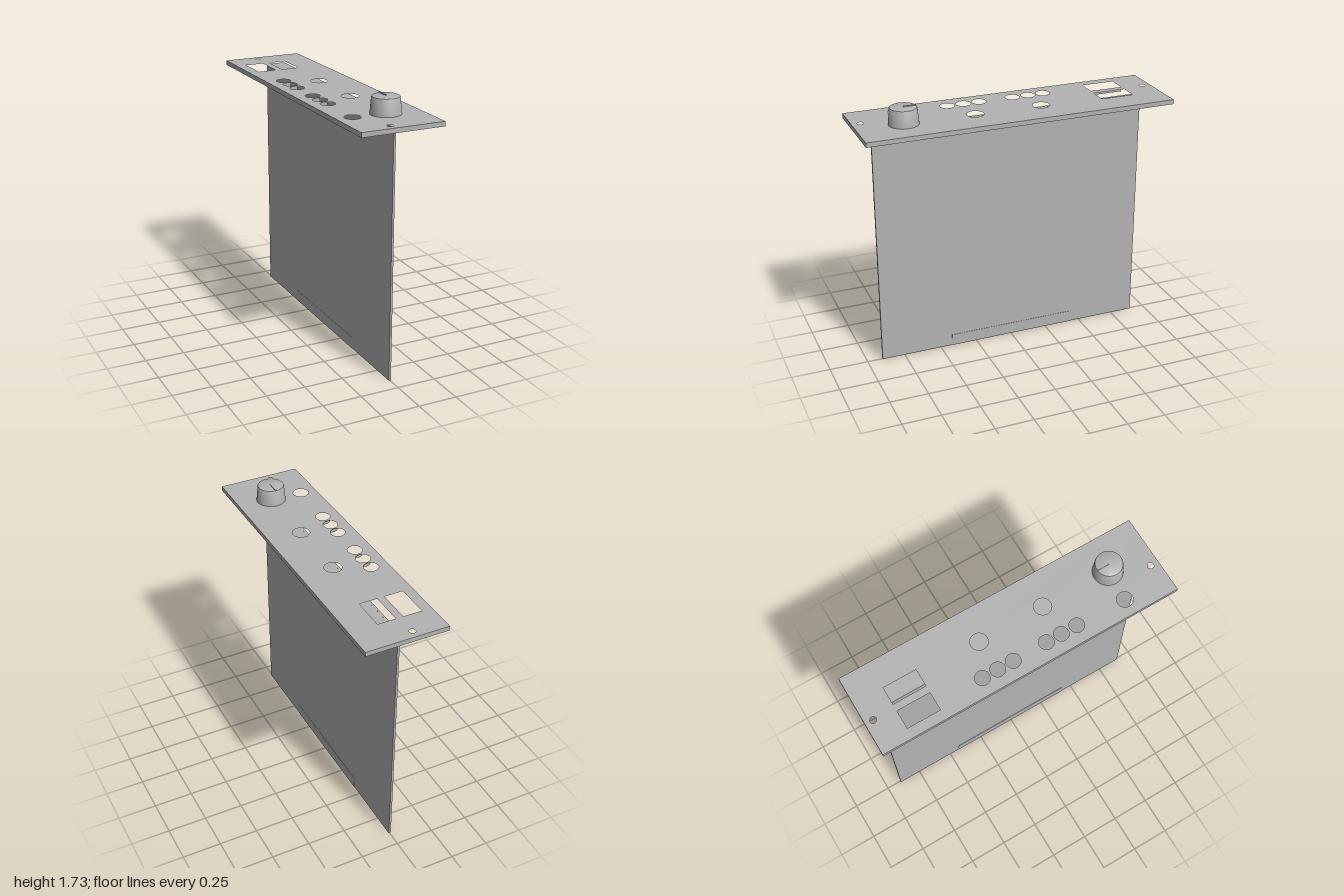
import * as THREE from 'three';
import { toCreasedNormals } from 'three/addons/utils/BufferGeometryUtils.js';

export function createModel() {
  const model = new THREE.Group();
  const grey = new THREE.MeshStandardMaterial({ color: 0xb3b3b3 });
  grey.name = 'satin grey';

  const add = (name, geometry, x = 0, y = 0, z = 0) => {
    const mesh = new THREE.Mesh(geometry, grey);
    mesh.name = name;
    mesh.position.set(x, y, z);
    model.add(mesh);
    return mesh;
  };
  // Box given by its limits on each axis
  const block = (name, x0, x1, y0, y1, z0, z1) =>
    add(name, new THREE.BoxGeometry(x1 - x0, y1 - y0, z1 - z0),
      (x0 + x1) / 2, (y0 + y1) / 2, (z0 + z1) / 2);

  // Rectangle path in plan; shape y is -z
  const rect = (path, x0, x1, z0, z1) => {
    path.moveTo(x0, -z0);
    path.lineTo(x1, -z0);
    path.lineTo(x1, -z1);
    path.lineTo(x0, -z1);
    path.closePath();
    return path;
  };

  // Faceplate with all its openings
  const plate = rect(new THREE.Shape(), -0.267, 0.267, -1, 1);
  const roundHoles = [
    [-0.057, -0.947, 0.02], [-0.057, 0.945, 0.02],   // screw holes
    [-0.163, 0.693, 0.05],                           // lamp hole beside knob
    [0.048, -0.185, 0.054], [0.048, 0.251, 0.054],   // button holes
  ];
  for (const z of [-0.283, -0.18, -0.075, 0.151, 0.254, 0.361]) roundHoles.push([-0.157, z, 0.046]);
  for (const [x, z, r] of roundHoles) {
    plate.holes.push(new THREE.Path().absarc(x, -z, r, 0, Math.PI * 2, true));
  }
  for (const [x0, x1] of [[-0.201, -0.079], [-0.032, 0.085]]) {
    plate.holes.push(rect(new THREE.Path(), x0, x1, -0.804, -0.587));
  }
  const plateGeometry = new THREE.ExtrudeGeometry(plate, {
    depth: 0.03, bevelEnabled: false, curveSegments: 24,
  });
  plateGeometry.rotateX(-Math.PI / 2);
  add('faceplate', toCreasedNormals(plateGeometry, 0.6), 0, 1.59, 0);

  // Upright board with folded mounting flange and thicker edge connector
  block('board', -0.008, 0.006, 0, 1.59, -0.9, 0.9);
  block('mountingFlange', 0.006, 0.12, 1.575, 1.5895, -0.9, 0.9);
  block('edgeConnector', -0.01, 0.008, 0, 0.077, -0.43, 0.42);

  // Tapered knob with a softened top rim
  const profile = [[0.094, 0], [0.085, 0.1], [0.083, 0.105], [0.079, 0.107], [0, 0.107]]
    .map(([r, y]) => new THREE.Vector2(r, y));
  add('knob', toCreasedNormals(new THREE.LatheGeometry(profile, 48), 0.6), 0.045, 1.62, 0.705);
  block('knobPointer', 0.04, 0.05, 1.725, 1.731, 0.625, 0.705);

  return model;
}
